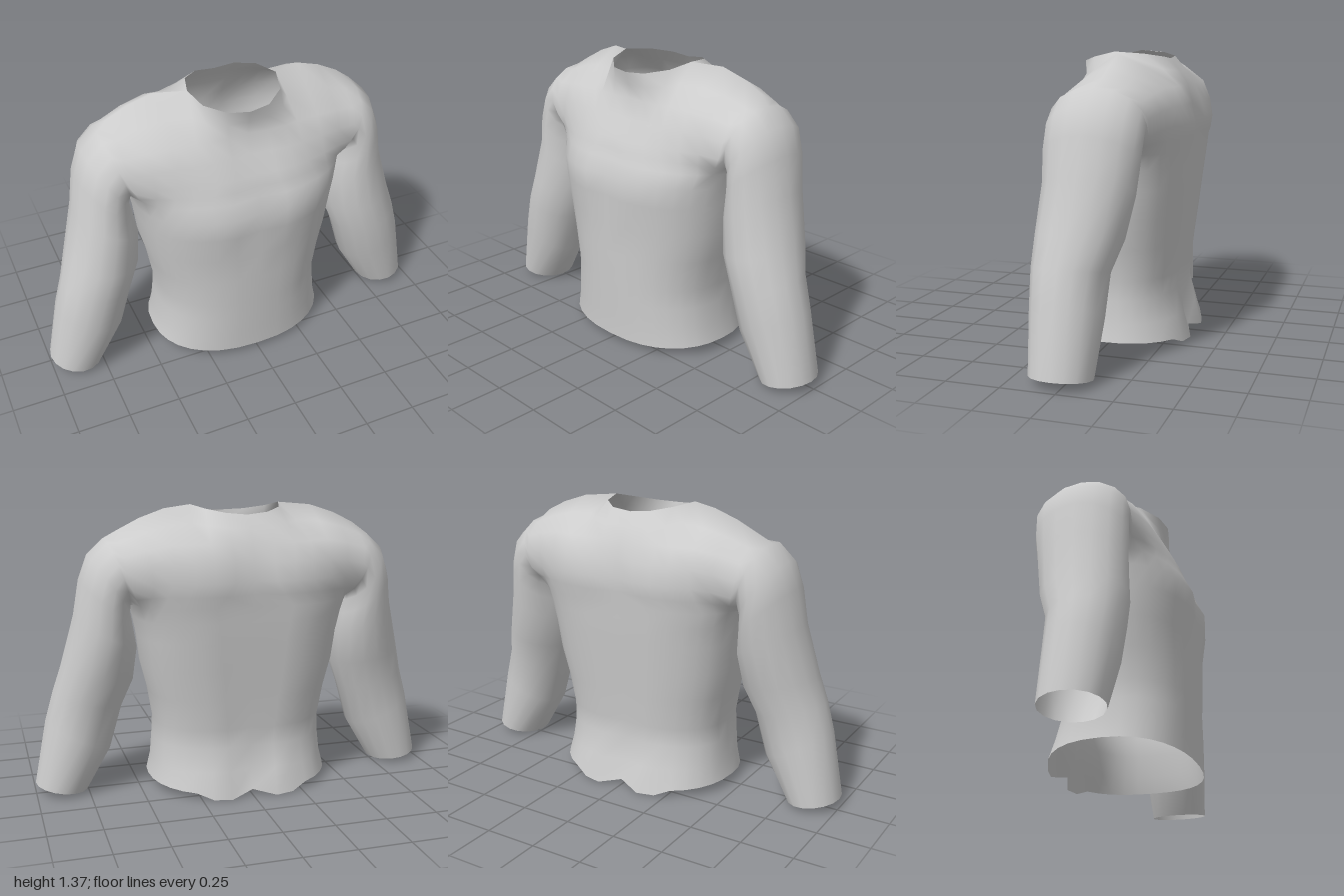
import * as THREE from 'three';

const V = (x, y, z) => new THREE.Vector3(x, y, z);
const COLS = 16;   // columns round half of the torso, front centre to back centre
const ROWS = 6;    // rows of the chest and back panels

export function createModel() {
  const group = new THREE.Group();
  group.name = 'shirt';
  const fabric = new THREE.MeshStandardMaterial({ color: 0xcccccc, side: THREE.DoubleSide });
  fabric.name = 'light grey fabric';

  // All parts share one welded vertex list, so shading runs smoothly over the seams
  const positions = [], lookup = new Map();
  const parts = { body: [], yoke: [], leftSleeve: [], rightSleeve: [] };
  const vertex = (p, side) => {
    const key = [p.x * side, p.y, p.z].map((n) => Math.round(n * 1e4)).join();
    if (!lookup.has(key)) {
      lookup.set(key, positions.length / 3);
      positions.push(p.x * side, p.y, p.z);
    }
    return lookup.get(key);
  };
  const addGrid = (out, rows, side, flip = false) => {
    for (let r = 0; r < rows.length - 1; r++) {
      for (let c = 0; c < rows[r].length - 1; c++) {
        const q = [rows[r][c], rows[r][c + 1], rows[r + 1][c + 1], rows[r + 1][c]].map((p) => vertex(p, side));
        if ((side < 0) !== flip) q.reverse();
        out.push(q[0], q[1], q[2], q[0], q[2], q[3]);
      }
    }
  };

  // Torso rings from hem to armpit: height, half width, front depth, back depth
  const rings = [
    [0.03, 0.45, 0.33, 0.355], [0.13, 0.43, 0.33, 0.32], [0.24, 0.42, 0.335, 0.285],
    [0.33, 0.415, 0.335, 0.29], [0.48, 0.44, 0.34, 0.305], [0.62, 0.475, 0.34, 0.32],
    [0.76, 0.49, 0.36, 0.335], [0.86, 0.51, 0.36, 0.345], [0.93, 0.53, 0.325, 0.35],
  ];
  const torso = rings.map(([y, w, front, back], r) => {
    const row = [];
    for (let k = 0; k <= COLS; k++) {
      const t = (k / COLS) * Math.PI, s = Math.sin(t), c = Math.cos(t);
      const e = c > 0 ? 0.85 : 0.85 - 0.2 * (r / 8);
      let z = c > 0 ? front * c ** e : -back * Math.abs(c) ** e;
      if (k === 0 && r > 5) z -= 0.02;
      // centre back groove, pinched at the hem
      if (k === COLS) z += r < 2 ? 0.045 : 0.02;
      let hem = 0;
      if (r === 0) hem = 0.02 * s * s - (k === 14 || k === 15 ? 0.028 : 0);
      row.push(V(w * Math.abs(s) ** e, y + hem, z));
    }
    return row;
  });
  const chestLine = torso[torso.length - 1];

  // Top edge: neck opening, then the shoulder ridge out to the armhole
  const ridge = [V(0.22, 1.375, 0), V(0.36, 1.365, -0.06), V(0.48, 1.325, -0.07), V(0.58, 1.275, -0.07)];
  const frontTop = [V(0, 1.325, 0.205), V(0.1, 1.33, 0.185), V(0.19, 1.35, 0.11), ...ridge];
  const backTop = [V(0, 1.34, -0.21), V(0.1, 1.35, -0.205), V(0.18, 1.365, -0.13), ...ridge];

  // Guide points of the panels, centre to armhole: x, y, z
  const frontLow = [[0, 1.03, 0.27], [0.1, 1.03, 0.28], [0.19, 1.03, 0.275], [0.27, 1.03, 0.26],
    [0.37, 1.03, 0.235], [0.46, 1.03, 0.205], [0.55, 1.02, 0.175]];
  const frontHigh = [[0, 1.2, 0.18], [0.1, 1.2, 0.19], [0.19, 1.2, 0.185], [0.25, 1.2, 0.175],
    [0.36, 1.2, 0.165], [0.47, 1.19, 0.15], [0.57, 1.17, 0.125]];
  const backLow = [[0, 1.05, -0.33], [0.1, 1.05, -0.36], [0.19, 1.05, -0.36], [0.28, 1.05, -0.355],
    [0.38, 1.05, -0.325], [0.46, 1.04, -0.295], [0.55, 1.02, -0.265]];
  const backHigh = [[0, 1.22, -0.295], [0.1, 1.22, -0.305], [0.2, 1.22, -0.305], [0.28, 1.22, -0.3],
    [0.37, 1.22, -0.285], [0.48, 1.2, -0.265], [0.58, 1.17, -0.24]];
  const column = (start, low, high, top) =>
    new THREE.CatmullRomCurve3([start, V(...low), V(...high), top]).getPoints(ROWS);
  const frontCols = frontTop.map((top, i) => column(chestLine[i], frontLow[i], frontHigh[i], top));
  const backCols = backTop.map((top, i) => column(chestLine[COLS - i], backLow[i], backHigh[i], top));

  // Armhole loop: up the front, over the shoulder, down the back, under the arm
  const armhole = [
    ...frontCols[6], ...backCols[6].slice(0, ROWS).reverse(),
    chestLine[9], chestLine[8], chestLine[7],
  ];

  // Sleeve rings: outer x, y, inner x, y, front z, back z
  const sleeveRings = [
    [0.64, 1.235, 0.535, 0.92, 0.175, -0.265],
    [0.72, 1.16, 0.535, 0.89, 0.18, -0.265],
    [0.765, 1.04, 0.52, 0.82, 0.185, -0.255],
    [0.795, 0.87, 0.50, 0.72, 0.185, -0.235],
    [0.86, 0.63, 0.515, 0.56, 0.2, -0.195],
    [0.9, 0.5, 0.57, 0.42, 0.2, -0.145],
    [0.94, 0.36, 0.63, 0.21, 0.19, -0.135],
    [1.0, 0.05, 0.75, 0.01, 0.165, -0.12],
  ];
  const sleeve = [armhole, ...sleeveRings.map(([ox, oy, ix, iy, zf, zb]) =>
    armhole.map((_, j) => {
      const a = ((j - ROWS) / 8) * Math.PI, u = (1 + Math.cos(a)) / 2;
      return V(ix + (ox - ix) * u, iy + (oy - iy) * u, (zf + zb) / 2 - ((zf - zb) / 2) * Math.sin(a));
    }))].map((ring) => [...ring, ring[0]]);

  for (const side of [1, -1]) {
    addGrid(parts.body, torso, side);
    addGrid(parts.yoke, frontCols, side, true);
    addGrid(parts.yoke, backCols, side);
    addGrid(side > 0 ? parts.leftSleeve : parts.rightSleeve, sleeve, side, true);
  }

  // Normals are found on the whole shirt, then each part takes its own faces
  const whole = new THREE.BufferGeometry();
  whole.setAttribute('position', new THREE.Float32BufferAttribute(positions, 3));
  whole.setIndex(Object.values(parts).flat());
  whole.computeVertexNormals();
  for (const [name, index] of Object.entries(parts)) {
    const geometry = new THREE.BufferGeometry();
    geometry.setAttribute('position', whole.getAttribute('position'));
    geometry.setAttribute('normal', whole.getAttribute('normal'));
    geometry.setIndex(index);
    const mesh = new THREE.Mesh(geometry, fabric);
    mesh.name = name;
    group.add(mesh);
  }
  return group;
}
